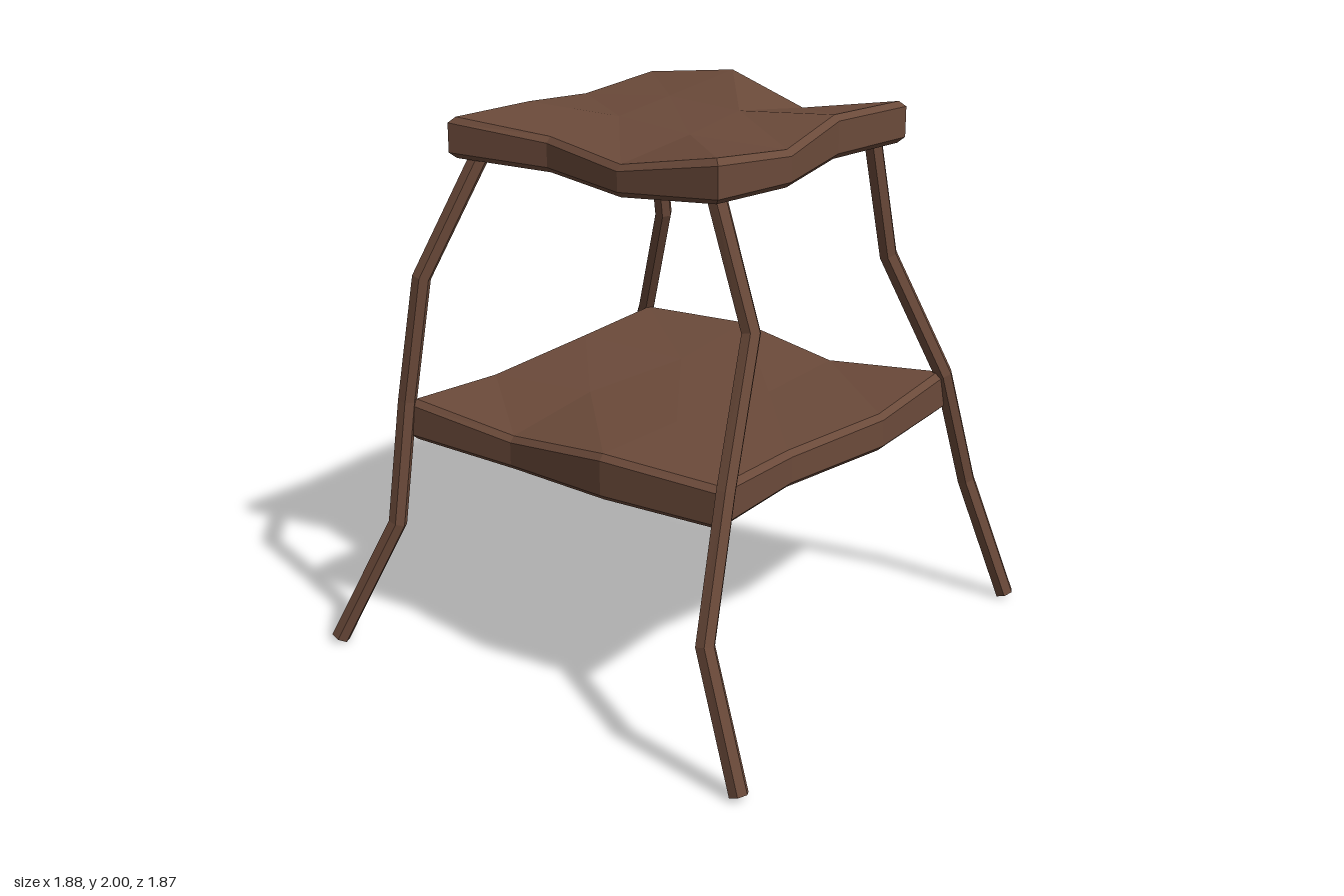
import * as THREE from 'three';

const wood = new THREE.MeshStandardMaterial({ color: 0x6b4a3a, flatShading: true });

function facetGeometry(points, faces) {
  const g = new THREE.BufferGeometry();
  g.setAttribute('position', new THREE.Float32BufferAttribute(points.flat(), 3));
  g.setIndex(faces);
  const flat = g.toNonIndexed();
  flat.computeVertexNormals();
  return flat;
}

const quad = (faces, a, b, c, d) => faces.push(a, b, c, a, c, d);

// Perimeter of a 4 x 4 grid as [row, column], running front, right, back, left
const rim = [];
for (let i = 0; i < 3; i++) rim.push([3, i]);
for (let i = 3; i > 0; i--) rim.push([i, 3]);
for (let i = 3; i > 0; i--) rim.push([0, i]);
for (let i = 0; i < 3; i++) rim.push([i, 0]);

// Warped board: edge positions per row / column, heights per grid point, chamfered rims
function board(name, { left, right, back, front, top, base, mean }) {
  const bevel = 0.02;
  const lerp = THREE.MathUtils.lerp;
  const inward = (i) => (i === 0 ? bevel : i === 3 ? -bevel : 0);
  const under = (r, c) => base + 0.4 * (top[r][c] - mean);
  const at = (r, c, y, inset) => [
    lerp(left[r], right[r], c / 3) + (inset ? inward(c) : 0),
    y,
    lerp(back[c], front[c], r / 3) + (inset ? inward(r) : 0),
  ];
  const points = [], faces = [];
  // Upper and lower surfaces
  for (let r = 0; r < 4; r++) for (let c = 0; c < 4; c++) points.push(at(r, c, top[r][c], true));
  for (let r = 0; r < 4; r++) for (let c = 0; c < 4; c++) points.push(at(r, c, under(r, c), true));
  for (let r = 0; r < 3; r++) {
    for (let c = 0; c < 3; c++) {
      const a = r * 4 + c;
      quad(faces, a, a + 4, a + 5, a + 1);
      quad(faces, a + 16, a + 17, a + 21, a + 20);
    }
  }
  // Outer side rings
  for (const [r, c] of rim) points.push(at(r, c, under(r, c) + bevel, false));
  for (const [r, c] of rim) points.push(at(r, c, top[r][c] - bevel, false));
  const n = rim.length;
  const rings = [
    rim.map(([r, c]) => 16 + r * 4 + c),
    rim.map((_, i) => 32 + i),
    rim.map((_, i) => 32 + n + i),
    rim.map(([r, c]) => r * 4 + c),
  ];
  for (let k = 0; k < 3; k++) {
    for (let i = 0; i < n; i++) {
      const j = (i + 1) % n;
      quad(faces, rings[k][i], rings[k][j], rings[k + 1][j], rings[k + 1][i]);
    }
  }
  const mesh = new THREE.Mesh(facetGeometry(points, faces), wood);
  mesh.name = name;
  return mesh;
}

// Crooked six-sided pole swept through a few joints, from the foot upwards
function leg(name, joints, radius = 0.035, sides = 6) {
  const path = joints.map((p) => new THREE.Vector3(...p));
  const points = [], faces = [];
  path.forEach((p, i) => {
    const before = path[Math.max(i - 1, 0)], after = path[Math.min(i + 1, path.length - 1)];
    const t = after.clone().sub(before).normalize();
    const u = new THREE.Vector3(1, 0, 0).addScaledVector(t, -t.x).normalize();
    const v = t.clone().cross(u);
    for (let j = 0; j < sides; j++) {
      const a = (j / sides) * Math.PI * 2;
      points.push(p.clone().addScaledVector(u, radius * Math.cos(a))
        .addScaledVector(v, radius * Math.sin(a)).toArray());
    }
  });
  for (let i = 0; i < path.length - 1; i++) {
    for (let j = 0; j < sides; j++) {
      const a = i * sides + j, b = i * sides + ((j + 1) % sides);
      quad(faces, a, b, b + sides, a + sides);
    }
  }
  // End caps
  const last = (path.length - 1) * sides;
  for (let j = 1; j < sides - 1; j++) {
    faces.push(0, j + 1, j, last, last + j, last + j + 1);
  }
  const mesh = new THREE.Mesh(facetGeometry(points, faces), wood);
  mesh.name = name;
  return mesh;
}

export function createModel() {
  const group = new THREE.Group();
  group.name = 'stool';

  group.add(board('seat', {
    left: [-0.57, -0.605, -0.555, -0.575],
    right: [0.565, 0.525, 0.585, 0.565],
    back: [-0.57, -0.605, -0.51, -0.58],
    front: [0.565, 0.49, 0.59, 0.565],
    top: [
      [1.96, 2.0, 1.915, 1.97],
      [1.925, 1.95, 1.955, 1.975],
      [1.96, 1.94, 1.94, 1.93],
      [1.96, 1.925, 1.9, 1.965],
    ],
    base: 1.81, mean: 1.945,
  }));

  group.add(board('shelf', {
    left: [-0.695, -0.665, -0.72, -0.695],
    right: [0.705, 0.72, 0.64, 0.675],
    back: [-0.705, -0.75, -0.66, -0.705],
    front: [0.7, 0.67, 0.74, 0.695],
    top: [
      [0.95, 0.955, 0.915, 0.95],
      [0.95, 0.93, 0.92, 0.92],
      [0.905, 0.92, 0.93, 0.91],
      [0.945, 0.895, 0.96, 0.94],
    ],
    base: 0.785, mean: 0.93,
  }));

  // Each leg shares foot, shelf and seat joints; its two bends differ: [x, z] low, [x, z] high
  const legs = [
    ['frontLeftLeg', 1, 1, [0.745, 0.87], [0.645, 0.49]],
    ['frontRightLeg', -1, 1, [0.72, 0.76], [0.64, 0.66]],
    ['backLeftLeg', 1, -1, [0.745, 0.84], [0.52, 0.57]],
    ['backRightLeg', -1, -1, [0.885, 0.75], [0.51, 0.57]],
  ];
  for (const [name, sx, sz, low, high] of legs) {
    group.add(leg(name, [
      [sx * 0.905, 0.017, sz * 0.905],
      [sx * low[0], 0.48, sz * low[1]],
      [sx * 0.7, 0.94, sz * 0.7],
      [sx * high[0], 1.4, sz * high[1]],
      [sx * 0.49, 1.85, sz * 0.48],
    ]));
  }
  return group;
}
